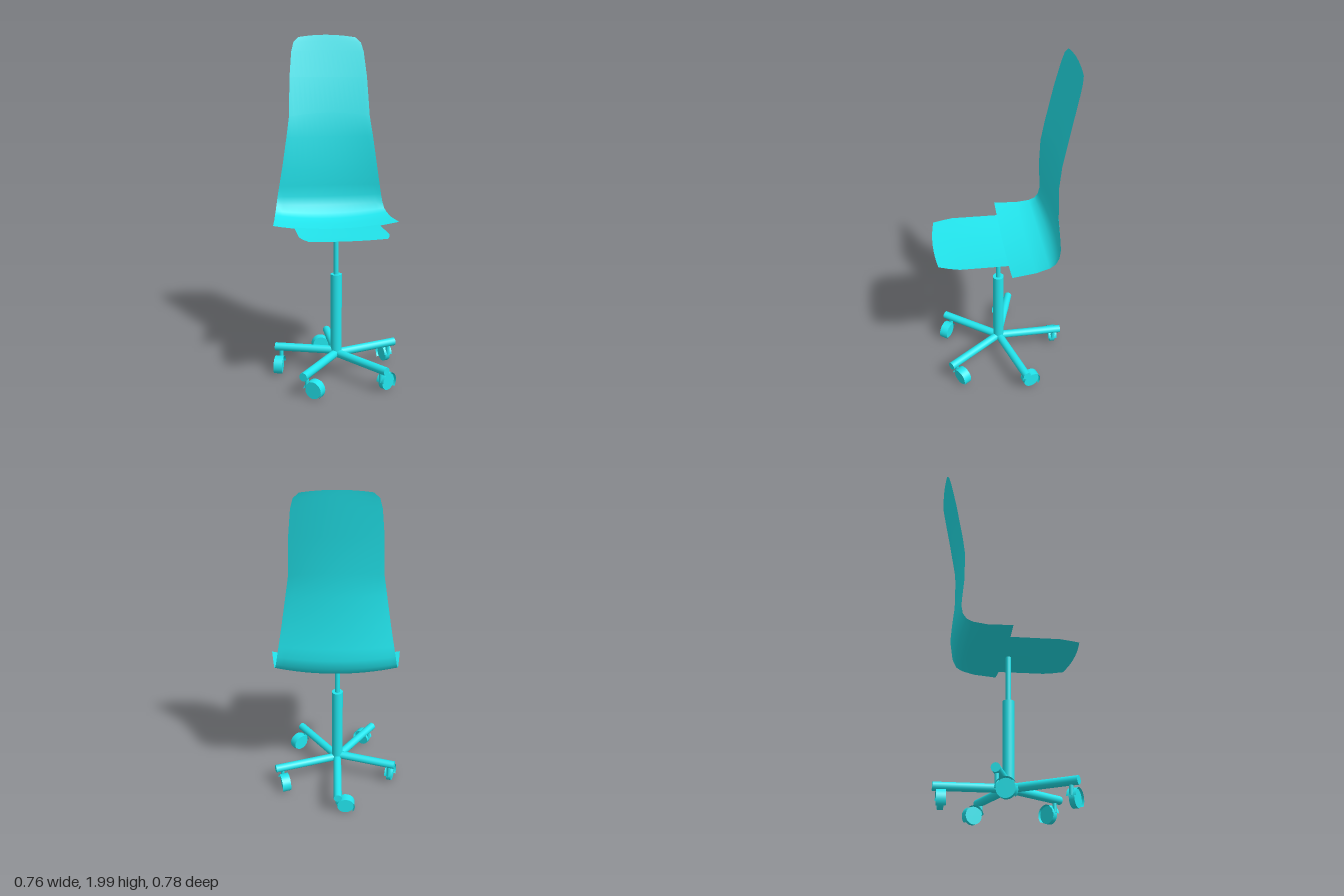
import * as THREE from 'three';

const cyan = new THREE.MeshStandardMaterial({ color: 0x22e6ee, side: THREE.DoubleSide });

function part(name, geometry, x = 0, y = 0, z = 0) {
  const mesh = new THREE.Mesh(geometry, cyan);
  mesh.name = name;
  mesh.position.set(x, y, z);
  return mesh;
}

// Curved sheet: each row is [halfWidth, centreZ, centreY, edgeZ, edgeY],
// bowed like a parabola from its centre to both edges.
function sheet(rows, cols = 16) {
  const pos = [], index = [];
  rows.forEach(([w, zc, yc, ze, ye], r) => {
    for (let c = 0; c <= cols; c++) {
      const t = (c / cols) * 2 - 1, k = t * t;
      pos.push(t * w, yc + (ye - yc) * k, zc + (ze - zc) * k);
      if (r && c) {
        const b = r * (cols + 1) + c, a = b - cols - 1;
        index.push(a - 1, b - 1, b, a - 1, b, a);
      }
    }
  });
  const g = new THREE.BufferGeometry();
  g.setAttribute('position', new THREE.Float32BufferAttribute(pos, 3));
  g.setIndex(index);
  g.computeVertexNormals();
  return g;
}

// Hooded wheel trailing sideways (-z) from its pivot, axle along x
function makeCaster() {
  const caster = new THREE.Group();
  caster.name = 'caster';
  const r = 0.055, trail = -0.046, y = 0.058;
  const wheel = new THREE.CylinderGeometry(0.049, 0.049, 0.03, 24).rotateZ(Math.PI / 2);
  const hood = new THREE.CylinderGeometry(r, r, 0.052, 24, 1, true, 0.1, Math.PI * 1.2)
    .rotateZ(Math.PI / 2);
  caster.add(
    part('wheel', wheel, 0, y, trail),
    part('wheelHood', hood, 0, y, trail),
    part('casterStem', new THREE.CylinderGeometry(0.012, 0.012, 0.07, 12), 0, 0.1, 0)
  );
  return caster;
}

export function createModel() {
  const model = new THREE.Group();
  model.name = 'swivelChair';

  // Backrest flowing down into the rear of the seat
  model.add(part('backShell', sheet([
    [0.175, -0.392, 2.0, -0.385, 1.985],
    [0.205, -0.385, 1.965, -0.375, 1.955],
    [0.22, -0.375, 1.91, -0.362, 1.9],
    [0.235, -0.345, 1.75, -0.33, 1.75],
    [0.245, -0.309, 1.54, -0.287, 1.52],
    [0.263, -0.301, 1.4, -0.272, 1.4],
    [0.29, -0.3, 1.22, -0.273, 1.22],
    [0.31, -0.312, 1.1, -0.284, 1.1],
    [0.32, -0.317, 1.03, -0.288, 1.04],
    [0.328, -0.308, 0.975, -0.28, 0.99],
    [0.335, -0.28, 0.93, -0.26, 0.956],
    [0.342, -0.235, 0.905, -0.225, 0.937],
    [0.352, -0.15, 0.89, -0.15, 0.922],
    [0.37, -0.015, 0.883, -0.015, 0.918]
  ])));

  // Narrower front of the seat
  model.add(part('seatFront', sheet([
    [0.25, -0.015, 0.89, -0.015, 0.906],
    [0.25, 0.13, 0.896, 0.13, 0.908],
    [0.25, 0.26, 0.902, 0.26, 0.91],
    [0.235, 0.325, 0.906, 0.318, 0.911],
    [0.215, 0.393, 0.911, 0.375, 0.913]
  ])));

  // Central column and wheeled star base
  const base = new THREE.Group();
  base.name = 'base';
  base.position.set(-0.008, 0, 0.01);
  base.add(
    part('gasPiston', new THREE.CylinderGeometry(0.015, 0.015, 0.29, 20), 0, 0.745, 0),
    part('columnSleeve', new THREE.CylinderGeometry(0.033, 0.033, 0.49, 24), 0, 0.38, 0)
  );
  for (let i = 0; i < 5; i++) {
    const raised = i === 3; // one leg sits higher and shorter
    const length = raised ? 0.37 : 0.4;
    const arm = new THREE.Group();
    arm.name = 'arm';
    arm.rotation.y = -THREE.MathUtils.degToRad(-18 + 72 * i);
    const leg = new THREE.CylinderGeometry(0.024, 0.024, length, 16).rotateZ(Math.PI / 2);
    arm.add(part('leg', leg, length / 2, raised ? 0.156 : 0.139, 0));
    const caster = makeCaster();
    caster.position.x = raised ? 0.335 : 0.357;
    arm.add(caster);
    base.add(arm);
  }
  model.add(base);
  return model;
}
